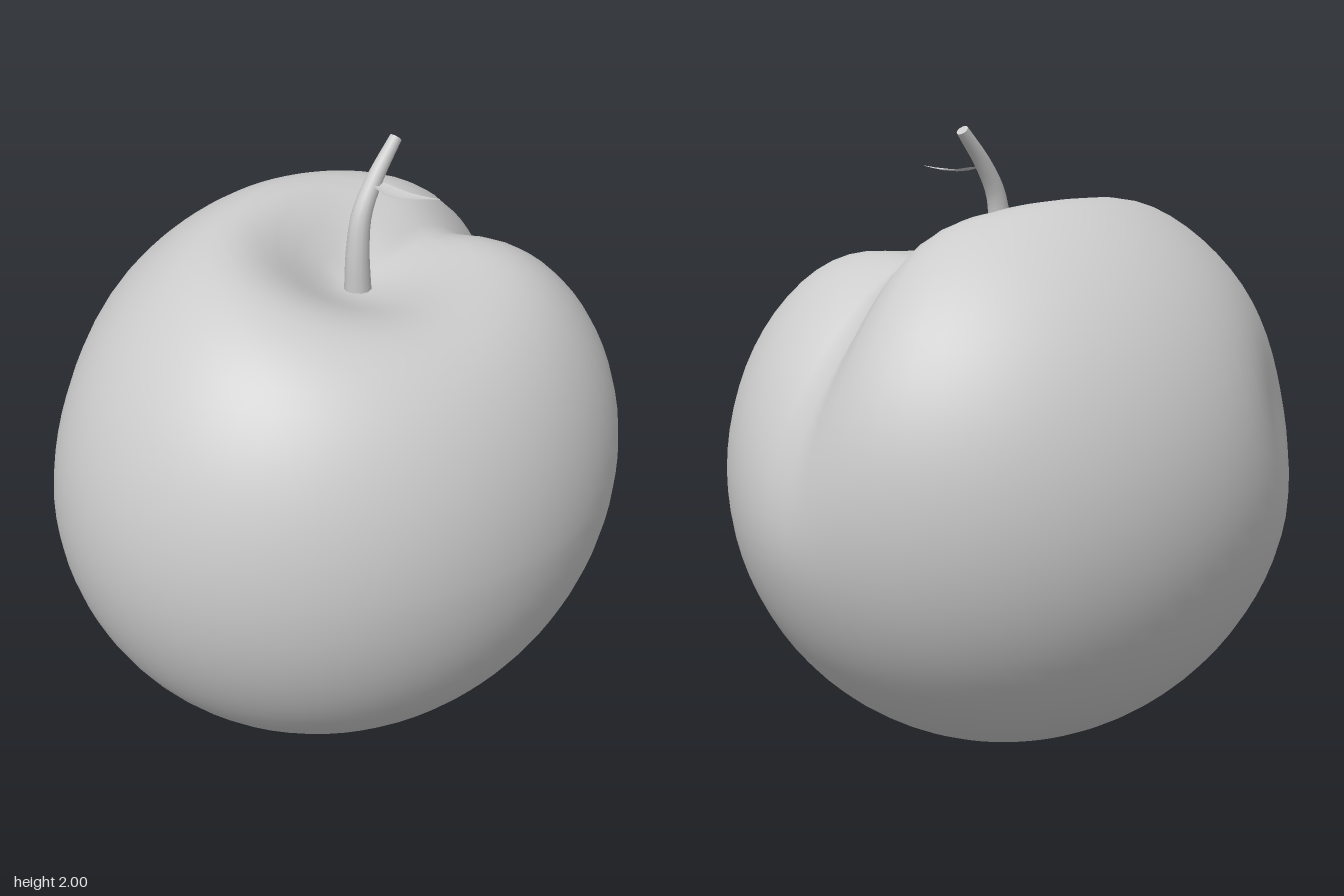
import * as THREE from 'three';
import { mergeVertices } from 'three/addons/utils/BufferGeometryUtils.js';

const grey = new THREE.MeshStandardMaterial({ color: 0xcccccc });
const greyDouble = new THREE.MeshStandardMaterial({ color: 0xcccccc, side: THREE.DoubleSide });

// Fruit: an ellipsoid with a stem hollow, a back cleft and a shallow side dent
function makeFruit() {
  const geo = new THREE.SphereGeometry(1, 64, 44);
  const pos = geo.attributes.position;
  const p = new THREE.Vector3();
  const dent = new THREE.Vector3(-0.68, 0.17, 0.55);
  for (let i = 0; i < pos.count; i++) {
    p.fromBufferAttribute(pos, i);
    p.multiply(new THREE.Vector3(0.862, 0.93, 0.985));
    const { x, y, z } = p;

    // cleft: sharp valley down the back, fading out below the middle
    const valley = THREE.MathUtils.lerp(0.04, -0.01, THREE.MathUtils.smoothstep(-z, 0.3, 0.95));
    const u = x - valley;
    const width = u < 0 ? 0.12 : 0.24;
    const along = THREE.MathUtils.smoothstep(-z, 0.02, 0.35) * THREE.MathUtils.smoothstep(y, -0.25, 0.6);
    const cleft = 0.15 * along * Math.exp(-Math.pow(Math.abs(u) / width, 1.4));

    // side dent
    const d = p.distanceTo(dent);
    const hollow = 0.06 * Math.exp(-((d / 0.26) ** 2));
    p.multiplyScalar(1 - cleft - hollow);

    // stem hollow: wide on the left, tight on the right
    if (y > 0) {
      const r = Math.hypot(x - 0.04, z);
      const w = 0.33 + 0.13 * (r > 1e-4 ? (x - 0.04) / r : 0);
      p.y -= 0.32 * Math.exp(-((r / w) ** 2)) * (1 - 2 * cleft);
    }
    pos.setXYZ(i, p.x, p.y + 0.93, p.z);
  }
  geo.deleteAttribute('uv');
  geo.deleteAttribute('normal');
  const smooth = mergeVertices(geo, 1e-4);
  smooth.computeVertexNormals();
  const mesh = new THREE.Mesh(smooth, grey);
  mesh.name = 'fruit';
  return mesh;
}

// Stem: a bent tube that tapers to a flat cut end
function makeStem() {
  const group = new THREE.Group();
  group.name = 'stem';
  const curve = new THREE.CatmullRomCurve3([
    [0.07, 1.5, -0.01], [0.068, 1.66, -0.01], [0.064, 1.78, -0.03],
    [0.06, 1.88, -0.09], [0.056, 1.988, -0.185],
  ].map((a) => new THREE.Vector3(...a)));
  const rings = 16, sides = 12;
  const geo = new THREE.TubeGeometry(curve, rings, 1, sides);
  const pos = geo.attributes.position;
  const p = new THREE.Vector3();
  for (let i = 0; i < pos.count; i++) {
    const t = Math.floor(i / (sides + 1)) / rings;
    const c = curve.getPointAt(t);
    p.fromBufferAttribute(pos, i).sub(c).multiplyScalar(0.046 - 0.026 * t).add(c);
    pos.setXYZ(i, p.x, p.y, p.z);
  }
  const tube = new THREE.Mesh(geo, grey);
  tube.name = 'stemTube';
  const cap = new THREE.Mesh(new THREE.CircleGeometry(0.02, sides), grey);
  cap.name = 'stemCutEnd';
  cap.position.copy(curve.getPointAt(1));
  cap.lookAt(curve.getPointAt(1).add(curve.getTangentAt(1)));
  group.add(tube, cap);
  return group;
}

// Leaf: cross-sections of [x, mid y, mid z, half width], slightly folded
function makeLeaf() {
  const sections = [
    [0.06, 1.87, -0.085, 0.012], [0.1, 1.865, -0.08, 0.026], [0.14, 1.857, -0.08, 0.034],
    [0.18, 1.853, -0.09, 0.032], [0.22, 1.855, -0.108, 0.022], [0.26, 1.862, -0.123, 0.01],
    [0.3, 1.87, -0.132, 0.001],
  ];
  const verts = [], index = [];
  sections.forEach(([x, y, z, h], i) => {
    for (const s of [-1, 0, 1]) verts.push(x, y + 0.2 * h * Math.abs(s), z + s * h);
    if (i === 0) return;
    for (const k of [0, 1]) {
      const a = (i - 1) * 3 + k, b = i * 3 + k;
      index.push(a, a + 1, b, b, a + 1, b + 1);
    }
  });
  const geo = new THREE.BufferGeometry();
  geo.setAttribute('position', new THREE.Float32BufferAttribute(verts, 3));
  geo.setIndex(index);
  geo.computeVertexNormals();
  const mesh = new THREE.Mesh(geo, greyDouble);
  mesh.name = 'leaf';
  return mesh;
}

export function createModel() {
  const model = new THREE.Group();
  model.name = 'stoneFruit';
  model.add(makeFruit(), makeStem(), makeLeaf());
  return model;
}
